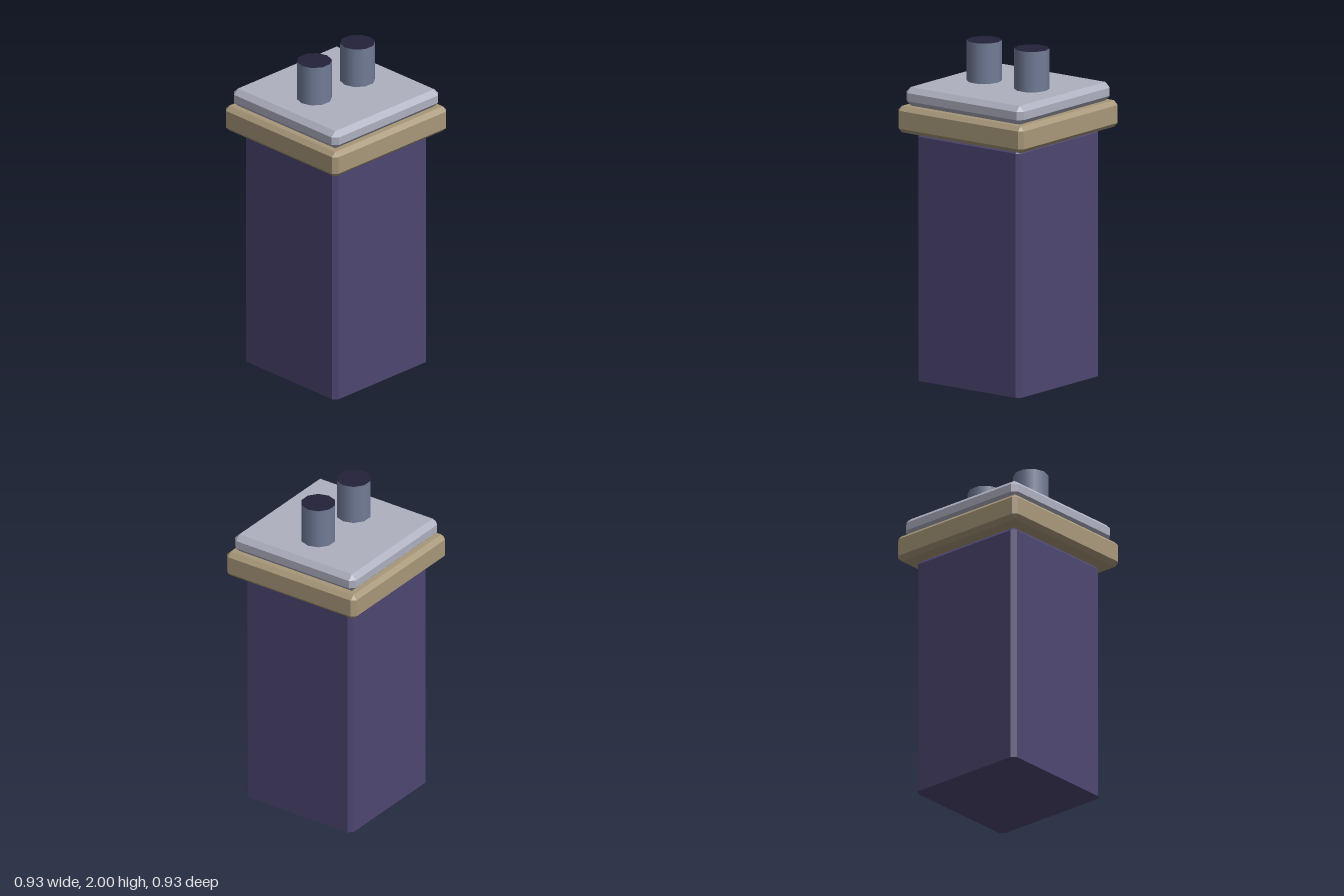
import * as THREE from 'three';
import { ConvexGeometry } from 'three/addons/geometries/ConvexGeometry.js';

const paint = (name, color) => {
  const m = new THREE.MeshStandardMaterial({ color });
  m.name = name;
  return m;
};

// Square block with chamfered edges; the bottom rim chamfer is optional
function chamferedBlock(half, y0, y1, bevel, bevelBottom = true) {
  const points = [];
  const inner = half - bevel;
  for (const sx of [-1, 1]) {
    for (const sz of [-1, 1]) {
      const add = (x, y, z) => points.push(new THREE.Vector3(sx * x, y, sz * z));
      for (const y of [bevelBottom ? y0 + bevel : y0, y1 - bevel]) {
        add(half, y, inner);
        add(inner, y, half);
      }
      add(inner, y1, inner);
      if (bevelBottom) add(inner, y0, inner);
    }
  }
  return new ConvexGeometry(points);
}

export function createModel() {
  const purple = paint('purple body', 0x4d4672);
  const tan = paint('tan collar', 0xa8987a);
  const grey = paint('pale grey lid', 0xaeb0c0);
  const steel = paint('steel blue pipe', 0x727d98);
  const navy = paint('dark pipe mouth', 0x23223a);

  const model = new THREE.Group();
  const add = (name, geometry, material) => {
    const mesh = new THREE.Mesh(geometry, material);
    mesh.name = name;
    model.add(mesh);
    return mesh;
  };

  // Tall body, collar and lid
  add('body', chamferedBlock(0.385, 0, 1.488, 0.026, false), purple);
  add('collar', chamferedBlock(0.467, 1.488, 1.647, 0.026), tan);
  add('lid', chamferedBlock(0.436, 1.647, 1.758, 0.031), grey);

  // Two ten-sided pipes with dark tops
  for (const [name, side] of [['leftPipe', 1], ['rightPipe', -1]]) {
    const pipe = new THREE.CylinderGeometry(0.103, 0.103, 0.25, 10, 1, false, Math.PI / 2);
    add(name, pipe, [steel, navy, steel]).position.set(side * 0.177, 1.875, 0);
  }
  return model;
}
